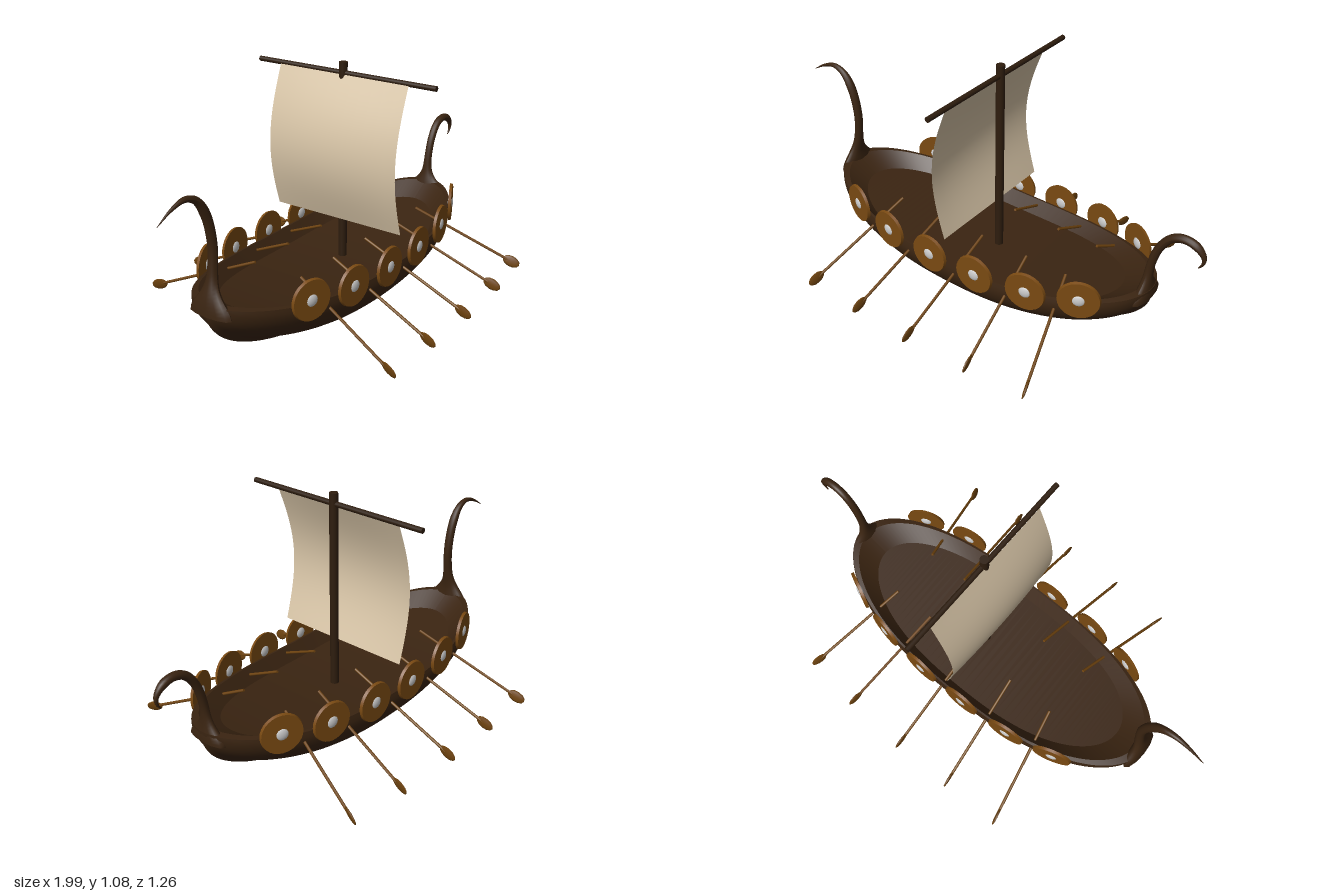
import * as THREE from 'three';

const paint = (color, side = THREE.FrontSide) => new THREE.MeshStandardMaterial({ color, side });
const V = (x, y, z) => new THREE.Vector3(x, y, z);

// Hull lines: half length, half beam, sheer and keel heights along x
const L = 0.795;
const beam = x => 0.31 * Math.sqrt(Math.max(0, 1 - Math.abs(x / L) ** 2.5));
const rim = x => 0.288 + 0.067 * (x / L) ** 2;
const keel = x => 0.33 * (1 - Math.sqrt(Math.max(0, 1 - (x / L) ** 2)));

// Skin a grid of points, one row per cross-section
function loft(rows) {
  const n = rows[0].length, index = [];
  for (let i = 0; i < rows.length - 1; i++) {
    for (let j = 0; j < n - 1; j++) {
      const a = i * n + j, b = a + n;
      index.push(a, b, a + 1, b, b + 1, a + 1);
    }
  }
  const g = new THREE.BufferGeometry().setFromPoints(rows.flat());
  g.setIndex(index);
  g.computeVertexNormals();
  return g;
}

// One row of points per station, spaced closer towards the ends
function stations(section, n = 64) {
  return Array.from({ length: n + 1 }, (_, i) => section(L * Math.sin((i / n - 0.5) * Math.PI)));
}

// Tube along a curve whose radius tapers and whose foot flares sideways
function taperedTube(points, radius, flare) {
  const n = 48, m = 12;
  const curve = new THREE.CatmullRomCurve3(points);
  const g = new THREE.TubeGeometry(curve, n, 1, m);
  const p = g.attributes.position;
  for (let i = 0; i <= n; i++) {
    const t = i / n, c = curve.getPointAt(t), r = radius(t);
    for (let j = 0; j <= m; j++) {
      const k = i * (m + 1) + j;
      p.setXYZ(k, c.x + (p.getX(k) - c.x) * r, c.y + (p.getY(k) - c.y) * r, p.getZ(k) * r * flare(t));
    }
  }
  g.computeVertexNormals();
  return g;
}

export function createModel() {
  const ship = new THREE.Group();
  const hullWood = paint(0x3a2411, THREE.DoubleSide);
  const darkWood = paint(0x2e1d0e);
  const oarWood = paint(0x6e430f);
  const shieldWood = paint(0x7a4a12);
  const metal = paint(0xcccccc);
  const cloth = paint(0xd9c6a8, THREE.DoubleSide);

  const add = (name, geometry, material, parent = ship) => {
    const mesh = new THREE.Mesh(geometry, material);
    mesh.name = name;
    parent.add(mesh);
    return mesh;
  };

  // Hull skin: section from keel to rim as (beam fraction, height fraction)
  const profile = new THREE.SplineCurve([
    [0, 0], [0.09, 0.04], [0.26, 0.17], [0.55, 0.3], [0.79, 0.46], [0.94, 0.65], [1, 0.85], [0.98, 1],
  ].map(([f, v]) => new THREE.Vector2(f, v))).getPoints(20);
  const fullSection = [...profile.slice(1).reverse().map(p => ({ f: -p.x, v: p.y })),
    ...profile.map(p => ({ f: p.x, v: p.y }))];
  add('hull', loft(stations(x => fullSection.map(({ f, v }) =>
    V(x, keel(x) + (rim(x) - keel(x)) * v, beam(x) * f)))), hullWood);

  // Gunwale, sloping inner wall and deck, each a band between two inset outlines
  const inset = (x, s, drop, side) => V(x * s, rim(x) - drop, side * beam(x) * s);
  for (const side of [1, -1]) {
    add('gunwale', loft(stations(x => [V(x, rim(x), side * beam(x) * 0.98), inset(x, 0.955, 0, side)])), hullWood);
    add('innerWall', loft(stations(x => [inset(x, 0.955, 0, side), inset(x, 0.83, 0.06, side)])), hullWood);
  }
  add('deck', loft(stations(x => [inset(x, 0.83, 0.06, 1), inset(x, 0.83, 0.06, -1)])), hullWood);

  // Curled stem and stern posts
  const flare = t => 1 + 2.2 * Math.exp(-((t / 0.14) ** 2));
  add('prow', taperedTube([
    V(-0.772, 0.31, 0), V(-0.768, 0.38, 0), V(-0.752, 0.47, 0), V(-0.745, 0.58, 0), V(-0.77, 0.7, 0),
    V(-0.815, 0.77, 0), V(-0.87, 0.79, 0), V(-0.935, 0.772, 0), V(-1, 0.735, 0),
  ], t => 0.001 + 0.018 * Math.min(1, (1 - t) * 2.6) + 0.012 * Math.exp(-((t / 0.12) ** 2)), flare), hullWood);
  add('sternPost', taperedTube([
    V(0.768, 0.31, 0), V(0.77, 0.38, 0), V(0.778, 0.47, 0), V(0.805, 0.56, 0), V(0.85, 0.62, 0),
    V(0.9, 0.638, 0), V(0.95, 0.625, 0), V(0.98, 0.59, 0), V(0.978, 0.56, 0), V(0.963, 0.538, 0),
  ], t => 0.002 + 0.015 * Math.min(1, (1 - t) * 5) + 0.012 * Math.exp(-((t / 0.12) ** 2)), flare), hullWood);

  // Mast and yard
  add('mast', new THREE.CylinderGeometry(0.018, 0.018, 0.86, 16), darkWood).position.set(0.06, 0.65, 0);
  const yard = add('yard', new THREE.CylinderGeometry(0.011, 0.011, 0.86, 12), darkWood);
  yard.rotation.x = Math.PI / 2;
  yard.position.set(0.06, 1.035, 0);

  // Billowing sail
  const sailRows = Array.from({ length: 21 }, (_, i) => {
    const u = i / 20;
    return Array.from({ length: 13 }, (_, j) => {
      const w = j / 6 - 1;
      const belly = (0.068 + 0.014 * (1 - w * w)) * Math.sin(Math.PI * u);
      return V(0.05 - 0.03 * u - belly, 1.03 - 0.615 * u, 0.312 * w);
    });
  });
  add('sail', loft(sailRows), cloth);

  // Round shields hung along the rim, turned to follow the hull outline
  for (const side of [1, -1]) {
    for (const x of [-0.51, -0.295, -0.06, 0.17, 0.4, 0.605]) {
      const shield = new THREE.Group();
      shield.name = 'shield';
      const slope = (beam(x + 0.01) - beam(x - 0.01)) / 0.02;
      shield.position.set(x, rim(x) + 0.02, side * (beam(x) + 0.006));
      shield.rotation.y = side > 0 ? -Math.atan(slope) : Math.PI + Math.atan(slope);
      const board = add('shieldBoard', new THREE.CylinderGeometry(0.083, 0.086, 0.012, 28), shieldWood, shield);
      board.rotation.x = Math.PI / 2;
      const boss = add('shieldBoss', new THREE.SphereGeometry(0.028, 16, 10), metal, shield);
      boss.scale.z = 0.45;
      ship.add(shield);
    }
  }

  // Oars: [inner x, outer x, outer z]
  const oars = [[-0.385, -0.48, 0.605], [-0.17, -0.215, 0.615], [0.06, 0.06, 0.62],
    [0.285, 0.35, 0.605], [0.475, 0.605, 0.575]];
  for (const side of [1, -1]) {
    for (const [x0, x1, z1] of oars) {
      const inner = V(x0, 0.335, side * 0.115), outer = V(x1, 0.125, side * z1);
      const length = inner.distanceTo(outer);
      const oar = new THREE.Group();
      oar.name = 'oar';
      oar.position.copy(inner).lerp(outer, 0.5);
      oar.quaternion.setFromUnitVectors(V(0, 1, 0), outer.clone().sub(inner).normalize());
      add('oarShaft', new THREE.CylinderGeometry(0.006, 0.006, length - 0.03, 8), oarWood, oar).position.y = -0.015;
      const blade = add('oarBlade', new THREE.SphereGeometry(1, 8, 6), oarWood, oar);
      blade.scale.set(0.006, 0.04, 0.025);
      blade.position.y = length / 2 - 0.03;
      ship.add(oar);
    }
  }
  return ship;
}
